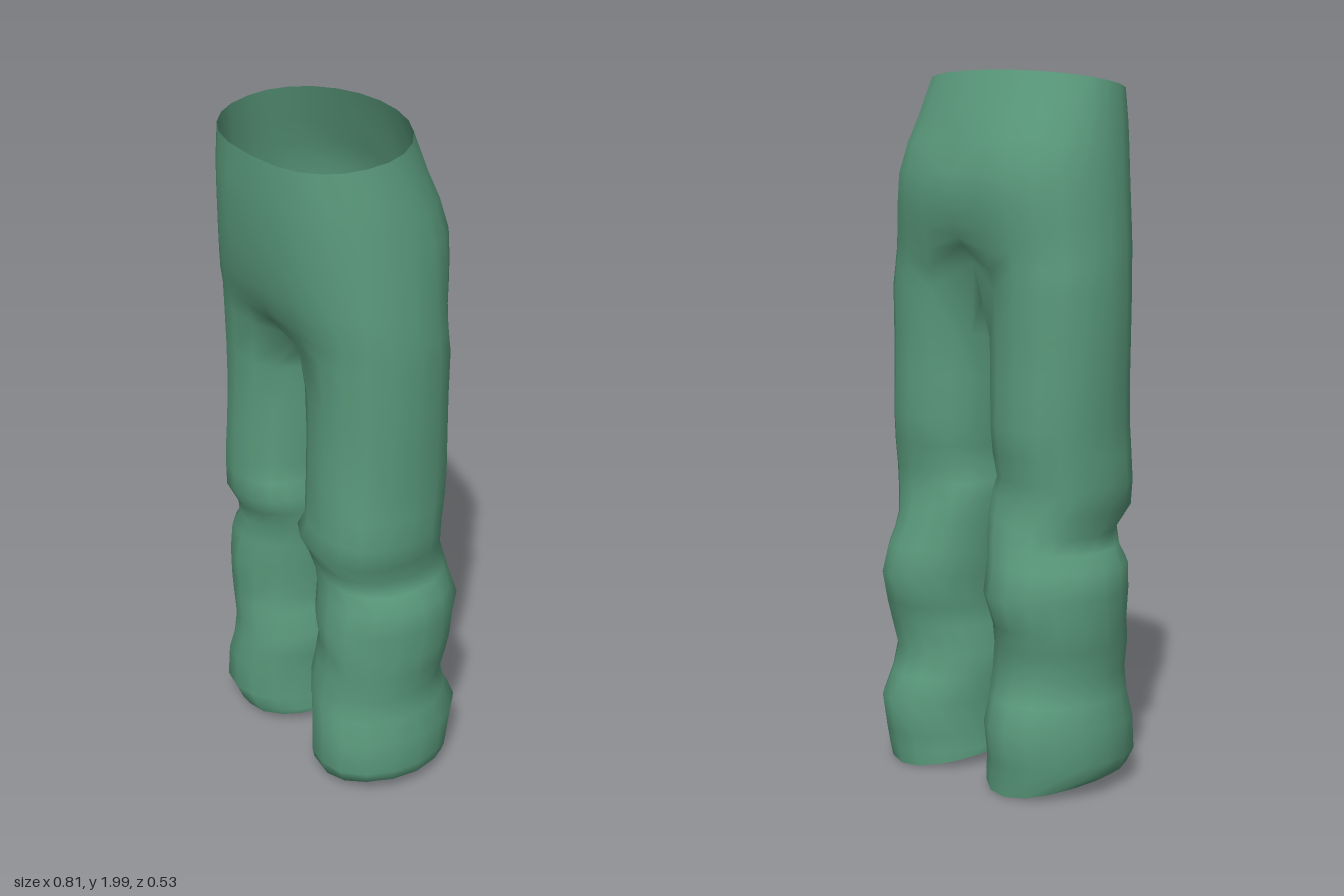
import * as THREE from 'three';
import { mergeVertices } from 'three/addons/utils/BufferGeometryUtils.js';

const OUTER = 13, INNER = 5, N = OUTER + INNER;
const pow = (v, e) => Math.sign(v) * Math.abs(v) ** e;
const lerp = THREE.MathUtils.lerp;

// Hip rings: y, half width, front z, back z, rise to the back, back roundness, blend into the legs
const HIPS = [
  [1.97, 0.315, 0.262, -0.155, 0.03, 1, 0],
  [1.87, 0.333, 0.266, -0.195, 0.018, 0.95, 0],
  [1.8, 0.345, 0.266, -0.227, 0.01, 0.9, 0],
  [1.72, 0.357, 0.263, -0.253, 0, 0.88, 0],
  [1.64, 0.366, 0.258, -0.253, 0, 0.88, 0.04],
  [1.57, 0.373, 0.253, -0.246, 0, 0.88, 0.16],
  [1.51, 0.378, 0.247, -0.234, 0, 0.88, 0.36],
  [1.46, 0.382, 0.225, -0.22, 0, 0.88, 0.6],
];
// Leg rings: y, inner x, outer x, front z, back z
const LEGS = [
  [1.4, 0.004, 0.384, 0.192, -0.202],
  [1.27, 0.012, 0.384, 0.187, -0.198],
  [1.15, 0.018, 0.381, 0.187, -0.201],
  [1.03, 0.026, 0.376, 0.194, -0.207],
  [0.95, 0.032, 0.375, 0.197, -0.199],
  [0.88, 0.036, 0.38, 0.197, -0.186],
  [0.82, 0.022, 0.368, 0.2, -0.188],
  [0.76, 0.022, 0.348, 0.178, -0.206],
  [0.71, 0.024, 0.362, 0.165, -0.22],
  [0.65, 0.03, 0.398, 0.168, -0.235],
  [0.57, 0.038, 0.4, 0.19, -0.265],
  [0.48, 0.05, 0.398, 0.19, -0.235],
  [0.42, 0.044, 0.392, 0.186, -0.22],
  [0.34, 0.025, 0.378, 0.187, -0.208],
  [0.27, 0.028, 0.385, 0.194, -0.23],
  [0.2, 0.036, 0.405, 0.202, -0.265],
  [0.1, 0.036, 0.402, 0.202, -0.25],
  [0.06, 0.03, 0.39, 0.19, -0.245],
  [0.0, 0.032, 0.37, 0.172, -0.24],
];
// Cloth folds: centre x, y, z, horizontal reach, vertical reach, push outwards
const FOLDS = [
  [0.33, 0.74, 0.12, 0.08, 0.04, -0.014],
  [0.1, 0.84, 0.17, 0.1, 0.05, 0.012],
  [0.27, 0.64, 0.15, 0.09, 0.05, 0.012],
  [0.17, 0.5, 0.18, 0.08, 0.05, -0.016],
  [0.36, 0.5, 0.1, 0.06, 0.06, -0.014],
  [0.31, 0.13, 0.16, 0.08, 0.06, 0.014],
  [0.34, 0.6, -0.18, 0.1, 0.08, -0.016],
  [0.34, 0.15, -0.18, 0.1, 0.1, -0.014],
  [0.12, 0.76, -0.18, 0.08, 0.05, -0.01],
];

function fold(p) {
  const dir = new THREE.Vector3(p.x - 0.2, 0, p.z + 0.02).normalize();
  let push = 0;
  for (const [x, y, z, r, h, d] of FOLDS) {
    const q = ((p.x - x) ** 2 + (p.z - z) ** 2) / r ** 2 + ((p.y - y) / h) ** 2;
    push += d * Math.exp(-q);
  }
  return p.addScaledVector(dir, push);
}

// Angle round a leg, from the front towards the outside
function legAngle(j) {
  const deg = j < OUTER ? -40 + (260 * j) / (OUTER - 1) : 220 + (100 * (j - OUTER + 1)) / (INNER + 1);
  return THREE.MathUtils.degToRad(deg);
}

function legPoint([y, xi, xo, zf, zb], j) {
  const a = legAngle(j), knee = Math.exp(-(((y - 0.8) / 0.12) ** 2));
  const e = (y > 0.9 ? 0.9 : 1) - 0.2 * knee;
  const z = (zf + zb) / 2 + ((zf - zb) / 2) * pow(Math.cos(a), e);
  const x = (xi + xo) / 2 + ((xo - xi) / 2) * pow(Math.sin(a), e);
  // Knee creases slant down to the outside; the hem sags in the middle and at the back
  const slant = -0.2 * (x - 0.2) * Math.exp(-(((y - 0.77) / 0.1) ** 2));
  const sag = y === 0 ? 0.01 + 0.9 * (x - 0.2) ** 2 + 0.045 * (z + 0.24) : 0;
  return new THREE.Vector3(x, y + slant + sag, z);
}

function hipPoint([y, w, zf, zb, rise, round], j) {
  const a = (Math.PI * j) / (OUTER - 1), c = Math.cos(a);
  const cleft = c < 0 && y < 1.85 ? 0.016 * c ** 24 : 0;
  const z = (zf + zb) / 2 + ((zf - zb) / 2) * pow(c, c < 0 ? round : 0.9) + cleft;
  return new THREE.Vector3(w * pow(Math.sin(a), c < 0 ? round : 0.78), y - rise * c, z);
}

// Outer rings of one half, from waist to just above the crotch
function hipRing(row) {
  const [y, w] = row, blend = row[6];
  return Array.from({ length: OUTER }, (_, j) => {
    const seam = j === 0 || j === OUTER - 1;
    const p = hipPoint(row, j);
    p.lerp(legPoint([y, 0, w, 0.2, -0.21], j), seam ? blend * 0.5 : blend);
    if (seam) p.x = 0;
    // The back seam climbs between the buttocks
    if (j === OUTER - 1) p.y += 0.11 * blend;
    return p;
  });
}

// The first leg ring joins the other half along a sagging crotch seam
function crotchRing() {
  return Array.from({ length: N }, (_, j) => {
    const p = legPoint(LEGS[0], j);
    if (j === 0) return p.set(0, 1.38, 0.12);
    if (j === OUTER - 1) return p.set(0, 1.475, -0.145);
    if (j >= OUTER) {
      const t = (j - OUTER + 1) / (INNER + 1);
      p.set(0, lerp(1.475, 1.38, t) - 0.085 * Math.sin(Math.PI * t), lerp(-0.145, 0.12, t));
    }
    return p;
  });
}

const legRings = () => [
  crotchRing(),
  ...LEGS.slice(1).map((row) => Array.from({ length: N }, (_, j) => fold(legPoint(row, j)))),
];

// Collects quads, and their mirror images, into one smooth geometry
function mirroredGeometry(strips) {
  const pos = [];
  const tri = (a, b, c) => {
    for (const p of [a, b, c]) pos.push(p.x, p.y, p.z);
    for (const p of [a, c, b]) pos.push(-p.x, p.y, p.z);
  };
  for (const [up, low, count] of strips) {
    for (let j = 0; j < count; j++) {
      const k = (j + 1) % up.length, m = (j + 1) % low.length;
      tri(up[j], low[j], low[m]);
      tri(up[j], low[m], up[k]);
    }
  }
  const g = new THREE.BufferGeometry();
  g.setAttribute('position', new THREE.Float32BufferAttribute(pos, 3));
  const merged = mergeVertices(g, 1e-4);
  merged.computeVertexNormals();
  return merged;
}

export function createModel() {
  const group = new THREE.Group();
  const cloth = new THREE.MeshStandardMaterial({ color: 0x5a9a7c, side: THREE.DoubleSide });
  cloth.name = 'green cloth';

  // Hips and legs as one continuous cloth surface
  const hips = HIPS.map(hipRing), legs = legRings();
  const strips = [];
  for (let i = 0; i < hips.length - 1; i++) strips.push([hips[i], hips[i + 1], OUTER - 1]);
  strips.push([hips[hips.length - 1], legs[0], OUTER - 1]);
  for (let i = 0; i < legs.length - 1; i++) strips.push([legs[i], legs[i + 1], N]);
  const trousers = new THREE.Mesh(mirroredGeometry(strips), cloth);
  trousers.name = 'trousers';

  // Turned-in hems, each leaving a six-sided ankle opening
  const hem = legs[legs.length - 1];
  const opening = hem.map((_, j) => {
    const a = (Math.round(legAngle(j) / (Math.PI / 3) - 0.5) + 0.5) * (Math.PI / 3);
    return new THREE.Vector3(0.18 + 0.075 * Math.sin(a), 0.03, -0.045 + 0.09 * Math.cos(a));
  });
  const hems = new THREE.Mesh(mirroredGeometry([[hem, opening, N]]), cloth);
  hems.name = 'hems';

  group.add(trousers, hems);
  return group;
}
